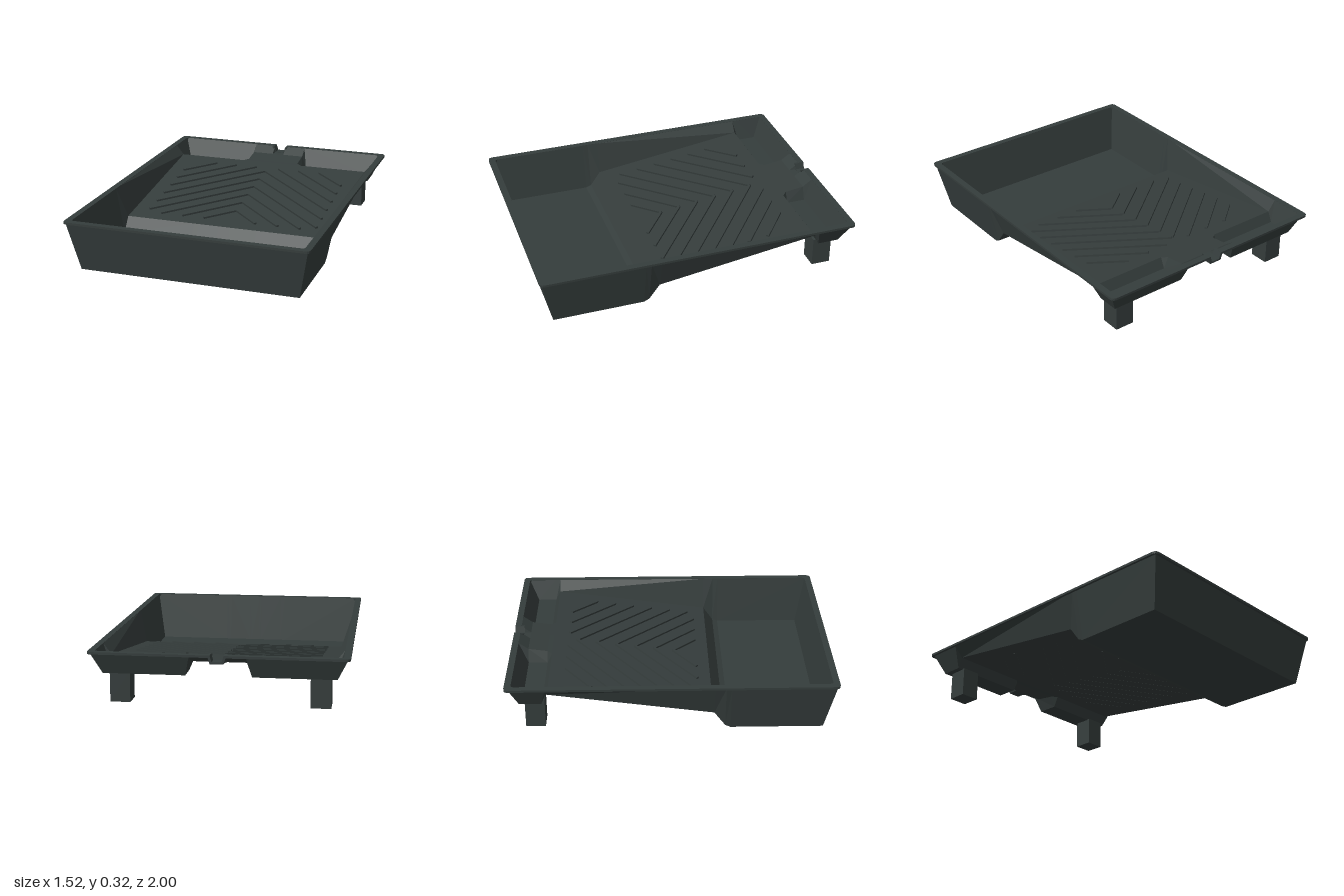
import * as THREE from 'three';

const plastic = new THREE.MeshStandardMaterial({ color: 0x353d3c });
plastic.name = 'dark grey plastic';

function addMesh(parent, geometry, name, x = 0, y = 0, z = 0) {
  const mesh = new THREE.Mesh(geometry, plastic);
  mesh.name = name;
  mesh.position.set(x, y, z);
  parent.add(mesh);
  return mesh;
}

// One skin of the tray: a grid of rows (front to back) and columns (left to right)
// whose outermost rows and columns rise to the rim.
function traySkin(p, flip) {
  const half = [p.notch - 0.012, p.notch, p.pocketX, p.pocketX + 0.03, p.floorX, p.topX];
  const xs = [...half.map(x => -x).reverse(), ...half];
  const rows = [[p.topZ[0], p.topY], ...p.profile, [p.topZ[1], p.topY]];
  const last = rows.length - 1;

  const point = (r, c) => {
    let x = xs[c], [z, y] = rows[r];
    const ax = Math.abs(x), edge = ax === p.topX;
    if (r === 0 || r === last) {
      if (ax >= p.floorX) x = Math.sign(x) * p.topX;
      if (r === last && ax < p.notch) y = p.notchY;
    } else if (edge) {
      y = p.topY;
      if (r === 1) z = p.topZ[0];
      if (r === last - 1) z = p.topZ[1];
    } else if (r >= last - 2 && ax > p.pocketX + 0.01) {
      y = p.pocketY; // foot pockets in the two back corners
    }
    return [x, y, z];
  };

  const positions = [];
  const tri = (a, b, c) => positions.push(...a, ...(flip ? c : b), ...(flip ? b : c));
  for (let r = 0; r < last; r++) {
    for (let c = 0; c < xs.length - 1; c++) {
      const a = point(r, c), b = point(r, c + 1), d = point(r + 1, c), e = point(r + 1, c + 1);
      if (xs[c] + xs[c + 1] > 0) { tri(a, b, d); tri(b, e, d); }
      else { tri(a, b, e); tri(a, e, d); }
    }
  }
  const g = new THREE.BufferGeometry();
  g.setAttribute('position', new THREE.Float32BufferAttribute(positions, 3));
  g.computeVertexNormals();
  return g;
}

// Flat rim with rounded corners, open at the back notch
function rimGeometry() {
  const s = new THREE.Shape(), n = 0.04;
  const X = 0.76, Z = 1, R = 0.03, x = 0.72, z = 0.96, r = 0.02;
  s.moveTo(n, Z);
  s.lineTo(X - R, Z); s.quadraticCurveTo(X, Z, X, Z - R);
  s.lineTo(X, -Z + R); s.quadraticCurveTo(X, -Z, X - R, -Z);
  s.lineTo(-X + R, -Z); s.quadraticCurveTo(-X, -Z, -X, -Z + R);
  s.lineTo(-X, Z - R); s.quadraticCurveTo(-X, Z, -X + R, Z);
  s.lineTo(-n, Z); s.lineTo(-n, z);
  s.lineTo(-x + r, z); s.quadraticCurveTo(-x, z, -x, z - r);
  s.lineTo(-x, -z + r); s.quadraticCurveTo(-x, -z, -x + r, -z);
  s.lineTo(x - r, -z); s.quadraticCurveTo(x, -z, x, -z + r);
  s.lineTo(x, z - r); s.quadraticCurveTo(x, z, x - r, z);
  s.lineTo(n, z);
  const g = new THREE.ExtrudeGeometry(s, { depth: 0.014, bevelEnabled: false, curveSegments: 4 });
  return g.rotateX(-Math.PI / 2);
}

// V-sided channel through the back wall
function spoutGeometry() {
  const s = new THREE.Shape([
    [-0.055, 0.319], [-0.04, 0.27], [0.04, 0.27], [0.055, 0.319],
    [0.04, 0.319], [0.028, 0.281], [-0.028, 0.281], [-0.04, 0.319],
  ].map(([x, y]) => new THREE.Vector2(x, y)));
  return new THREE.ExtrudeGeometry(s, { depth: 0.06, bevelEnabled: false });
}

export function createModel() {
  const model = new THREE.Group();
  model.name = 'paintTray';

  addMesh(model, traySkin({
    floorX: 0.67, topX: 0.72, topY: 0.319, topZ: [0.96, -0.96],
    notch: 0.04, notchY: 0.28, pocketX: 0.18, pocketY: 0.192,
    profile: [[0.9, 0.012], [0.35, 0.012], [0.315, 0.025], [0.25, 0.117],
      [-0.75, 0.255], [-0.78, 0.259], [-0.9, 0.276]],
  }, false), 'innerTray');

  addMesh(model, traySkin({
    floorX: 0.685, topX: 0.745, topY: 0.307, topZ: [0.985, -0.972],
    notch: 0.05, notchY: 0.272, pocketX: 0.165, pocketY: 0.18,
    profile: [[0.92, 0], [0.355, 0], [0.322, 0.015], [0.255, 0.105],
      [-0.757, 0.245], [-0.787, 0.248], [-0.92, 0.266]],
  }, true), 'outerTray');

  addMesh(model, rimGeometry(), 'rim', 0, 0.306, 0);
  addMesh(model, spoutGeometry(), 'backSpout', 0, 0, -1);

  for (const side of [-1, 1]) {
    addMesh(model, new THREE.BoxGeometry(0.12, 0.185, 0.12),
      side > 0 ? 'leftLeg' : 'rightLeg', side * 0.59, 0.0925, -0.83);
  }

  // Chevron ribs on the sloping ramp
  const ribs = new THREE.Group();
  ribs.name = 'rampRibs';
  ribs.position.y = 0.117 + 0.25 * 0.138;
  ribs.rotation.x = Math.atan(0.138);
  model.add(ribs);
  const slope = 0.85, front = 0.17, back = -0.66, reach = 0.57;
  for (let apex = -0.98; apex < 0.1; apex += 0.125) {
    const x0 = Math.max(0, (back - apex) / slope);
    const x1 = Math.min(reach, (front - apex) / slope);
    if (x1 - x0 < 0.06) continue;
    const length = (x1 - x0) * Math.hypot(1, slope);
    const xm = (x0 + x1) / 2;
    for (const side of [-1, 1]) {
      const rib = addMesh(ribs, new THREE.BoxGeometry(length, 0.024, 0.018),
        'chevronRib', side * xm, 0, apex + slope * xm);
      rib.rotation.y = -side * Math.atan(slope);
    }
  }
  return model;
}
